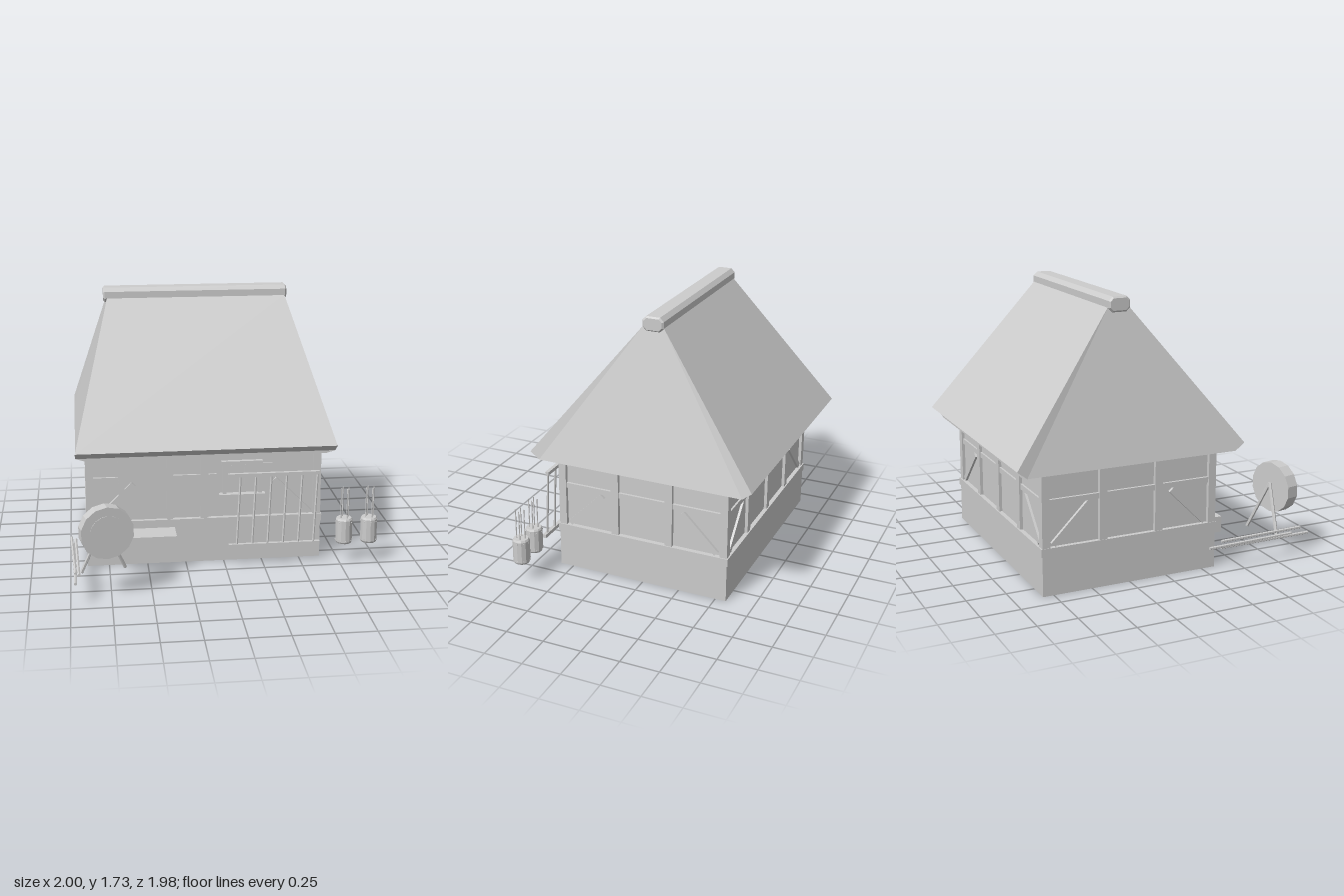
import * as THREE from 'three';

const plaster = new THREE.MeshStandardMaterial({ color: 0xcccccc });
plaster.name = 'pale grey';

function flat(geo) {
  const g = geo.index ? geo.toNonIndexed() : geo;
  g.computeVertexNormals();
  return g;
}

function add(parent, name, geo) {
  const mesh = new THREE.Mesh(geo, plaster);
  mesh.name = name;
  parent.add(mesh);
  return mesh;
}

// Box given by its limits on each axis
function box(parent, name, x0, x1, y0, y1, z0, z1) {
  const m = add(parent, name, new THREE.BoxGeometry(x1 - x0, y1 - y0, z1 - z0));
  m.position.set((x0 + x1) / 2, (y0 + y1) / 2, (z0 + z1) / 2);
  return m;
}

// Round stick between two points
function stick(parent, name, a, b, r, sides = 6) {
  const p = new THREE.Vector3(...a), q = new THREE.Vector3(...b);
  const m = add(parent, name, flat(new THREE.CylinderGeometry(r, r, p.distanceTo(q), sides)));
  m.position.copy(p).add(q).multiplyScalar(0.5);
  m.quaternion.setFromUnitVectors(new THREE.Vector3(0, 1, 0), q.sub(p).normalize());
  return m;
}

// Timber framing of one wall, in local x along the wall, facing +z
function timberWall(parent, name, half, posts, rails, braces) {
  const wall = new THREE.Group();
  wall.name = name;
  parent.add(wall);
  for (const [u, w] of posts) box(wall, 'post', u - w / 2, u + w / 2, 0.29, 0.76, -0.04, 0);
  for (const [a, b] of rails) box(wall, 'rail', a, b, 0.56, 0.595, -0.035, -0.008);
  for (const s of braces) {
    const brace = box(wall, 'brace', -0.165, 0.165, -0.018, 0.018, -0.035, -0.005);
    brace.position.set(s * (half - 0.19), 0.43, -0.02);
    brace.rotation.z = -s * Math.PI / 4;
  }
  return wall;
}

// Hipped roof with undercut eaves
function roofGeometry() {
  const ring = (x0, x1, y, zf, zb) => [[x0, y, zf], [x1, y, zf], [x1, y, zb], [x0, y, zb]];
  const U = ring(-0.89, 0.65, 0.745, 0.44, -0.93);
  const B = ring(-0.95, 0.71, 0.763, 0.44, -0.93);
  const E = ring(-0.95, 0.71, 0.81, 0.5, -0.99);
  const R = ring(-0.71, 0.47, 1.67, -0.18, -0.315);
  const pos = [];
  const face = (...p) => {
    for (let i = 1; i < p.length - 1; i++) pos.push(...p[0], ...p[i], ...p[i + 1]);
  };
  for (const [i, j] of [[0, 1], [2, 3]]) {       // long slopes and their bevels
    face(E[i], E[j], R[j], R[i]);
    face(B[i], B[j], E[j], E[i]);
    face(U[i], U[j], B[j], B[i]);
  }
  for (const [i, j] of [[1, 2], [3, 0]]) {       // hipped ends
    face(B[i], B[j], R[j], R[i]);
    face(B[i], R[i], E[i]);
    face(B[j], E[j], R[j]);
    face(U[i], U[j], B[j], B[i]);
  }
  face(R[0], R[1], R[2], R[3]);
  face(U[3], U[2], U[1], U[0]);
  const g = new THREE.BufferGeometry();
  g.setAttribute('position', new THREE.Float32BufferAttribute(pos, 3));
  g.computeVertexNormals();
  return g;
}

export function createModel() {
  const model = new THREE.Group();
  model.name = 'farmhouse';

  // House body
  const house = new THREE.Group();
  house.name = 'house';
  model.add(house);
  box(house, 'foundation', -0.89, 0.64, 0, 0.25, -0.82, 0.34);
  box(house, 'sillBeam', -0.893, 0.647, 0.25, 0.3, -0.828, 0.347);
  box(house, 'walls', -0.865, 0.615, 0.28, 0.76, -0.8, 0.315);
  add(house, 'roof', roofGeometry());

  // Ridge cap with chamfered section, running along x
  const c = 0.025, w = 0.07, h = 0.047;
  const section = new THREE.Shape([[-w + c, -h], [w - c, -h], [w, -h + c], [w, h - c],
    [w - c, h], [-w + c, h], [-w, h - c], [-w, -h + c]].map(p => new THREE.Vector2(...p)));
  const cap = add(house, 'ridgeCap', new THREE.ExtrudeGeometry(section,
    { depth: 1.2, bevelThickness: 0.01, bevelSize: 0.01, bevelOffset: -0.01, bevelSegments: 1 }));
  cap.rotation.y = Math.PI / 2;
  cap.position.set(-0.725, 1.687, -0.247);

  // Framing on all four sides
  const front = timberWall(house, 'frontFrame', 0.765,
    [[-0.74, 0.05], [-0.535, 0.04], [-0.225, 0.04], [0, 0.05], [0.74, 0.05]],
    [[-0.74, -0.535], [-0.225, 0.08]], [1, -1]);
  front.position.set(-0.125, 0, 0.34);
  const back = timberWall(house, 'backFrame', 0.765,
    [-0.74, -0.37, 0, 0.37, 0.74].map(u => [u, 0.05]), [[-0.74, 0.74]], [-1, 1]);
  back.position.set(-0.125, 0, -0.82);
  back.rotation.y = Math.PI;
  for (const s of [-1, 1]) {
    const side = timberWall(house, s > 0 ? 'leftFrame' : 'rightFrame', 0.58,
      [-0.555, -0.185, 0.185, 0.555].map(u => [u, 0.05]), [[-0.55, 0.55]], [-1, 1]);
    side.position.set(s > 0 ? 0.64 : -0.89, 0, -0.24);
    side.rotation.y = s * Math.PI / 2;
  }

  // Door, step and window
  box(house, 'door', -0.64, -0.37, 0.3, 0.75, 0.31, 0.32);
  box(house, 'doorStep', -0.69, -0.32, 0.14, 0.245, 0.34, 0.505);
  box(house, 'windowLintel', -0.015, 0.255, 0.655, 0.68, 0.31, 0.345);
  box(house, 'windowSill', -0.03, 0.27, 0.444, 0.46, 0.31, 0.362);
  for (const x of [-0.005, 0.228]) box(house, 'windowJamb', x, x + 0.024, 0.46, 0.655, 0.31, 0.34);
  box(house, 'windowRail', 0.02, 0.228, 0.635, 0.65, 0.31, 0.33);
  box(house, 'shutter', 0.14, 0.34, 0.475, 0.655, 0.315, 0.324);

  // Drying rack with slanted sticks
  const rack = new THREE.Group();
  rack.name = 'dryingRack';
  model.add(rack);
  box(rack, 'lowerBar', 0.015, 0.61, 0.14, 0.165, 0.468, 0.492);
  box(rack, 'upperBar', 0.015, 0.61, 0.607, 0.63, 0.432, 0.456);
  for (let i = 0; i < 6; i++) {
    const x = 0.068 + i * 0.1;
    stick(rack, 'rackStick', [x, 0.16, 0.48], [x + 0.028, 0.61, 0.444], 0.008);
  }

  // Barrels holding rods
  for (const x of [0.775, 0.94]) {
    const barrel = new THREE.Group();
    barrel.name = 'barrel';
    barrel.position.set(x, 0.14, 0.46);
    model.add(barrel);
    const profile = [[0, 0], [0.048, 0], [0.055, 0.012], [0.055, 0.158], [0.048, 0.17], [0, 0.17]];
    add(barrel, 'tub', flat(new THREE.LatheGeometry(
      profile.map(p => new THREE.Vector2(...p)), 12)));
    for (const y of [0.022, 0.145]) for (let k = 0; k < 8; k++) {
      const a = k * Math.PI / 4;
      const stud = add(barrel, 'stud', new THREE.BoxGeometry(0.006, 0.006, 0.006));
      stud.position.set(0.055 * Math.cos(a), y, 0.055 * Math.sin(a));
    }
    for (const [dx, dz] of [[-0.025, 0.01], [-0.006, -0.025], [0.012, 0.025], [0.029, -0.008]])
      stick(barrel, 'rod', [dx, 0.16, dz], [dx, 0.37, dz], 0.004, 5);
  }

  // Round drum on splayed legs
  const drum = new THREE.Group();
  drum.name = 'drum';
  model.add(drum);
  const disc = new THREE.Group();
  disc.name = 'drumDisc';
  disc.position.set(-0.775, 0.43, 0.848);
  disc.rotation.y = 0.21;
  drum.add(disc);
  const shell = add(disc, 'drumShell', flat(new THREE.CylinderGeometry(0.165, 0.165, 0.08, 14)));
  shell.rotation.x = Math.PI / 2;
  const skin = add(disc, 'drumSkin', flat(new THREE.CylinderGeometry(0.11, 0.11, 0.006, 18)));
  skin.rotation.x = Math.PI / 2;
  skin.position.z = 0.041;
  stick(drum, 'drumLeg', [-0.79, 0.46, 0.8], [-0.93, 0.14, 0.775], 0.011);
  stick(drum, 'drumLeg', [-0.79, 0.46, 0.8], [-0.66, 0.14, 0.72], 0.011);

  // Poles lying beside the drum
  const poles = new THREE.Group();
  poles.name = 'polePile';
  model.add(poles);
  for (const [x0, z0, x1, z1, y] of [[-0.99, 0.25, -0.965, 0.86, 0.168],
    [-0.975, 0.34, -0.966, 0.985, 0.155], [-0.962, 0.35, -0.945, 0.94, 0.19]])
    stick(poles, 'pole', [x0, y, z0], [x1, y, z1], 0.01);

  return model;
}
